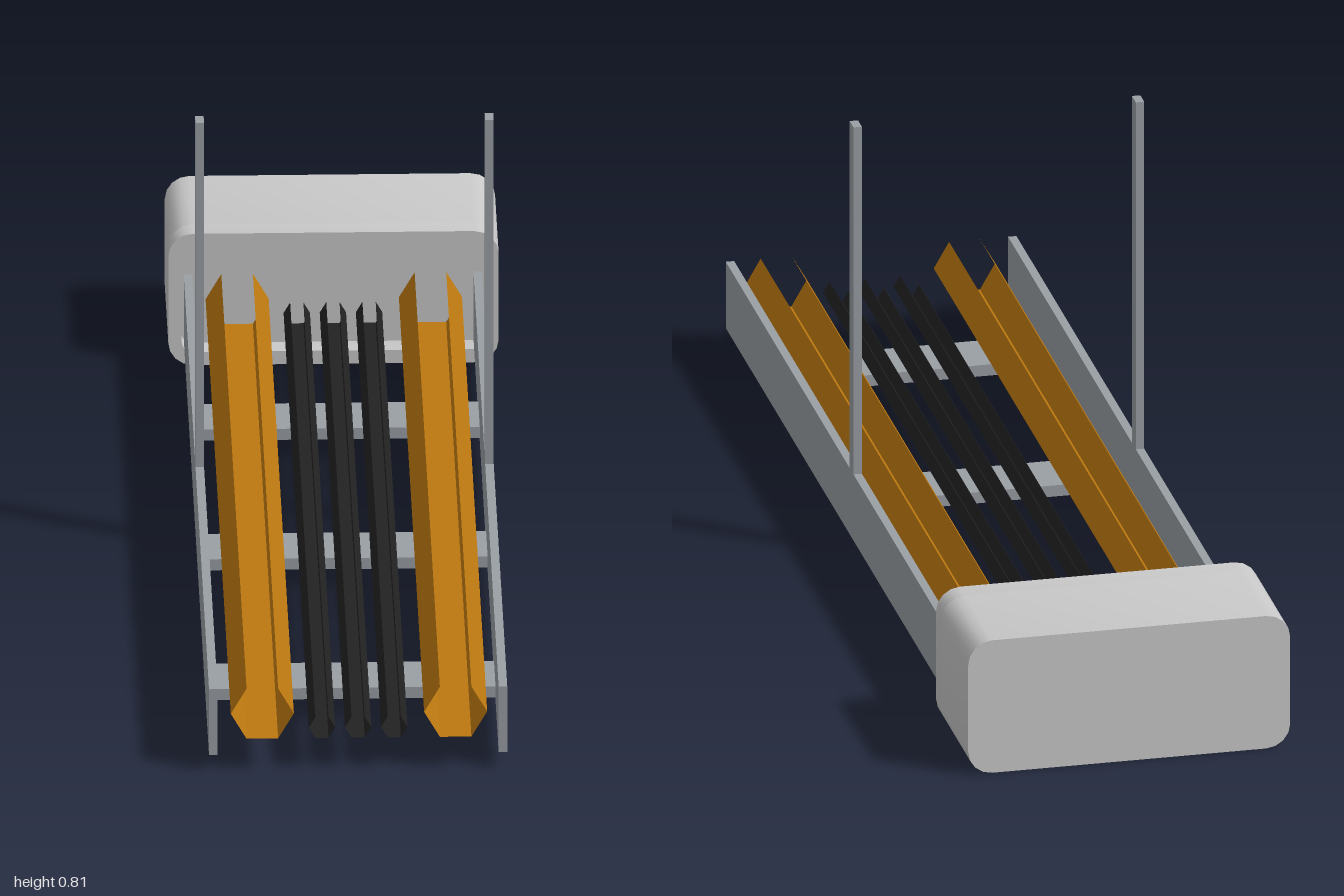
import * as THREE from 'three';
import { toCreasedNormals } from 'three/addons/utils/BufferGeometryUtils.js';

const mat = (name, color, extra = {}) => {
  const m = new THREE.MeshStandardMaterial({ color, ...extra });
  m.name = name;
  return m;
};

// Rounded rectangle with two-step corners
function outline(Target, w, y0, y1, r) {
  const s = new Target();
  s.moveTo(-w + r, y0);
  s.lineTo(w - r, y0);
  s.absarc(w - r, y0 + r, r, -Math.PI / 2, 0, false);
  s.absarc(w - r, y1 - r, r, 0, Math.PI / 2, false);
  s.absarc(-w + r, y1 - r, r, Math.PI / 2, Math.PI, false);
  s.absarc(-w + r, y0 + r, r, Math.PI, Math.PI * 1.5, false);
  return s;
}

export function createModel() {
  const group = new THREE.Group();
  group.name = 'cableTray';
  const steel = mat('steel', 0x9a9fa5);
  const housing = mat('housingGrey', 0xc8c8c8);
  const copper = mat('orangeConduit', 0xbc7810, { flatShading: true, side: THREE.DoubleSide });
  const black = mat('blackCable', 0x222223, { flatShading: true, side: THREE.DoubleSide });

  const add = (name, geo, material, x = 0, y = 0, z = 0) => {
    const m = new THREE.Mesh(geo, material);
    m.name = name;
    m.position.set(x, y, z);
    group.add(m);
  };

  const front = 1, mouth = -0.75, floor = -0.79;
  const length = front - floor, mid = (front + floor) / 2;

  // Side rails and hangers
  for (const [side, s] of [['left', 1], ['right', -1]]) {
    add(side + 'Rail', new THREE.BoxGeometry(0.015, 0.125, length), steel, s * 0.2525, 0.0925, mid);
    add(side + 'Hanger', new THREE.BoxGeometry(0.015, 0.665, 0.03), steel, s * 0.2525, 0.4775, 0.025);
  }

  // Rungs under the conduits
  for (const z of [-0.395, 0.165, 0.725]) {
    add('rung', new THREE.BoxGeometry(0.49, 0.021, 0.11), steel, 0, 0.0475, z);
  }

  // Six-sided conduits, open at the ends and along the top
  const conduit = (name, x, r, material) => {
    const geo = new THREE.CylinderGeometry(r, r, length, 5, 1, true, Math.PI * 7 / 6, Math.PI * 5 / 3);
    geo.rotateX(Math.PI / 2);
    add(name, geo, material, x, 0.06 + r * 0.866, mid);
  };
  for (const x of [-0.167, 0.17]) conduit('largeConduit', x, 0.055, copper);
  for (const x of [-0.063, 0, 0.063]) conduit('cable', x, 0.023, black);

  // End housing: solid block with a shallow rim around the tray
  const extrude = (shape, depth) => toCreasedNormals(
    new THREE.ExtrudeGeometry(shape, { depth, bevelEnabled: false, curveSegments: 2 }), 0.95);
  add('housingBody', extrude(outline(THREE.Shape, 0.288, 0, 0.25, 0.043), floor + 1), housing, 0, 0, -1);
  const rim = outline(THREE.Shape, 0.288, 0, 0.25, 0.043);
  rim.holes.push(outline(THREE.Path, 0.265, 0.025, 0.228, 0.02));
  add('housingRim', extrude(rim, mouth - floor), housing, 0, 0, floor);

  return group;
}
